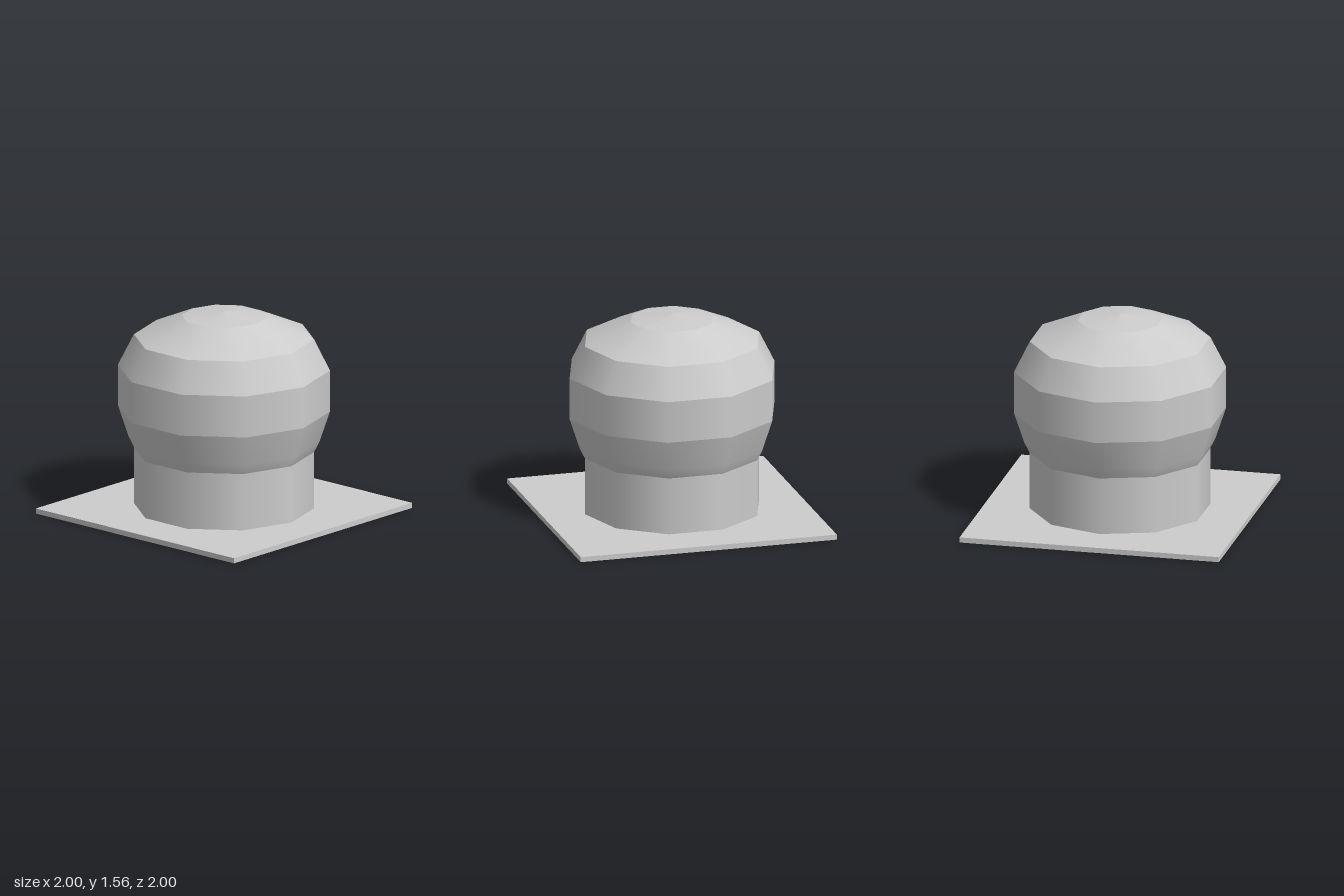
import * as THREE from 'three';

const SIDES = 10;

export function createModel() {
  const model = new THREE.Group();
  const grey = new THREE.MeshStandardMaterial({ color: 0xcccccc, side: THREE.DoubleSide });
  grey.name = 'light grey';

  function add(name, geometry) {
    const mesh = new THREE.Mesh(geometry, grey);
    mesh.name = name;
    model.add(mesh);
  }

  // Square base: a thin sheet with a shallow skirt, open underneath
  add('baseSheet', new THREE.PlaneGeometry(2, 2).rotateX(-Math.PI / 2).translate(0, 0.04, 0));
  for (let i = 0; i < 4; i++) {
    add('baseSkirt', new THREE.PlaneGeometry(2, 0.04).translate(0, 0.02, 1).rotateY(i * Math.PI / 2));
  }

  // Ten-sided bands as [radius, height] profiles: smooth around, creased between bands
  const bands = {
    neck: [[0.68, 0.04], [0.68, 0.48]],
    lowerBowl: [[0.68, 0.48], [0.72, 0.56], [0.8, 0.8]],
    middleBand: [[0.8, 0.8], [0.8, 1.12]],
    shoulder: [[0.8, 1.12], [0.68, 1.36]],
    dome: [[0.68, 1.36], [0.32, 1.52]],
    crown: [[0.32, 1.52], [0, 1.56]],
  };
  for (const [name, profile] of Object.entries(bands)) {
    const points = profile.map(([r, y]) => new THREE.Vector2(r, y));
    const geometry = new THREE.LatheGeometry(points, SIDES, Math.PI / 2);
    geometry.normalizeNormals(); // even shading from bottom to top of each band
    add(name, geometry);
  }
  return model;
}
